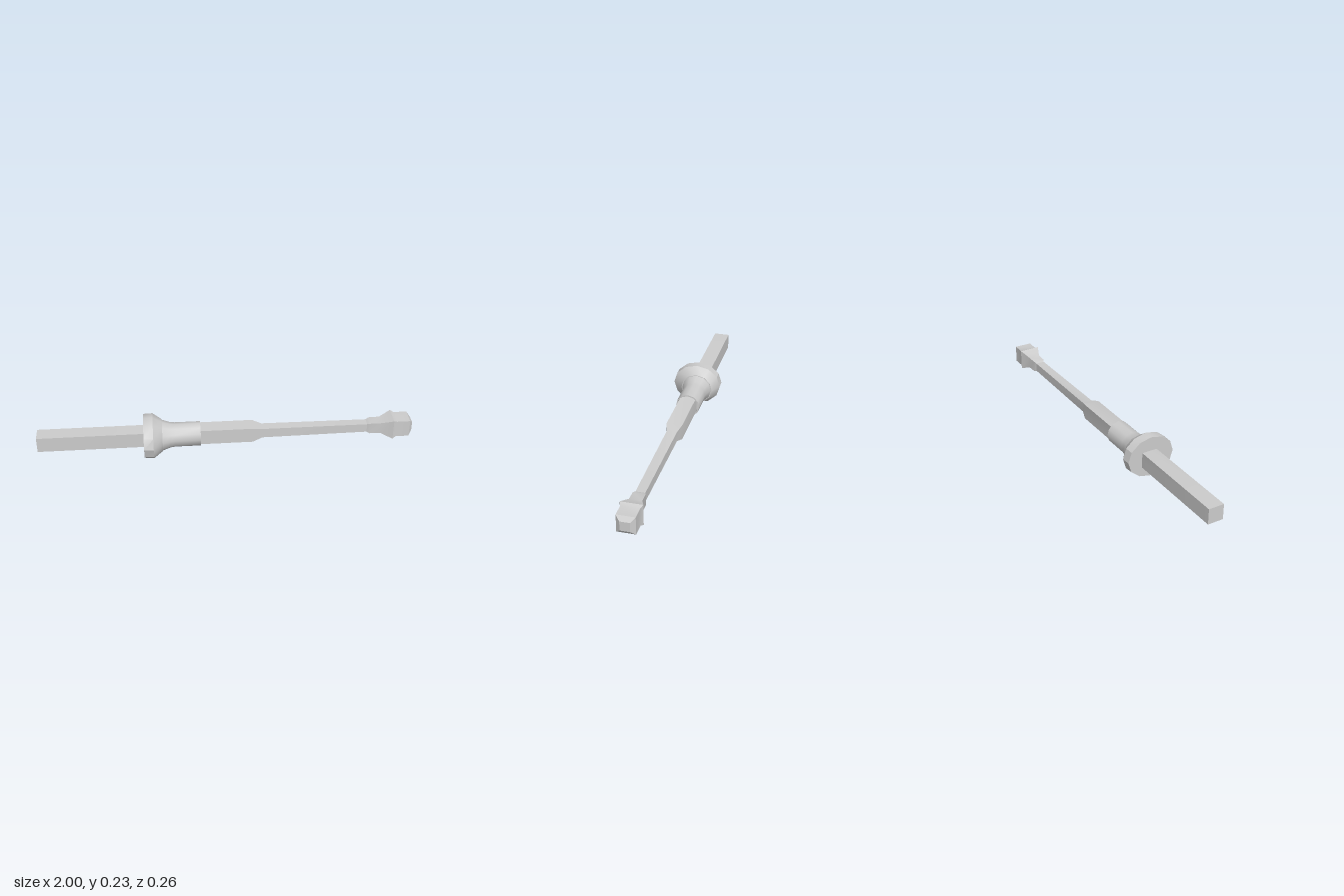
import * as THREE from 'three';
import { toCreasedNormals } from 'three/addons/utils/BufferGeometryUtils.js';

// Shared axis of the shaft, sleeve and head
const AXIS_Y = 0.11, AXIS_Z = -0.009;

// Lofts n-sided sections along x; each section is [x, ry, rz, cy, cz]
function loft(name, sections, n, phase = 0) {
  const rings = sections.map(([x, ry, rz = ry, cy = AXIS_Y, cz = AXIS_Z]) =>
    Array.from({ length: n + 1 }, (_, j) => {
      const t = phase + ((j % n) / n) * Math.PI * 2;
      return new THREE.Vector3(x, cy + ry * Math.cos(t), cz + rz * Math.sin(t));
    }));
  const pos = [];
  const tri = (...p) => p.forEach(v => pos.push(v.x, v.y, v.z));
  for (let i = 0; i < rings.length - 1; i++) {
    for (let j = 0; j < n; j++) {
      const [a, b] = [rings[i][j], rings[i][j + 1]];
      const [c, d] = [rings[i + 1][j], rings[i + 1][j + 1]];
      if (sections[i][1] > 0) tri(a, b, c);
      if (sections[i + 1][1] > 0) tri(b, d, c);
    }
  }
  const geo = new THREE.BufferGeometry();
  geo.setAttribute('position', new THREE.Float32BufferAttribute(pos, 3));
  const mesh = new THREE.Mesh(toCreasedNormals(geo, 0.55),
    new THREE.MeshStandardMaterial({ color: 0xcccccc }));
  mesh.name = name;
  return mesh;
}

// Square loft from [x, half width] pairs, closed at both ends
function squareLoft(name, pairs) {
  const s = pairs.map(([x, h]) => [x, h * Math.SQRT2]);
  return loft(name, [[s[0][0], 0], ...s, [s[s.length - 1][0], 0]], 4, Math.PI / 4);
}

export function createModel() {
  const group = new THREE.Group();
  group.name = 'hilt';

  // Square grip running through the collar and stepping down to a thin rod
  group.add(squareLoft('shaft', [
    [-1, 0.042], [0.14, 0.042], [0.19, 0.027], [0.77, 0.024],
  ]));

  // Flared square head with a bevelled tip
  group.add(squareLoft('head', [
    [0.755, 0.024], [0.772, 0.031], [0.83, 0.032], [0.893, 0.056],
    [0.912, 0.047], [0.982, 0.047], [1, 0.025],
  ]));

  // Wide oval collar disc, narrowing towards the sleeve
  group.add(loft('collar', [
    [-0.44, 0, 0, 0.117, 0], [-0.44, 0.111, 0.131, 0.117, 0],
    [-0.39, 0.115, 0.132, 0.115, 0], [-0.342, 0.085, 0.087],
    [-0.342, 0],
  ], 12));

  // Round sleeve with a recessed open end around the shaft
  group.add(loft('sleeve', [
    [-0.35, 0], [-0.35, 0.085], [-0.335, 0.08], [-0.3, 0.068], [-0.275, 0.065],
    [-0.14, 0.065], [-0.14, 0.058], [-0.17, 0.058], [-0.17, 0],
  ], 12));

  return group;
}
